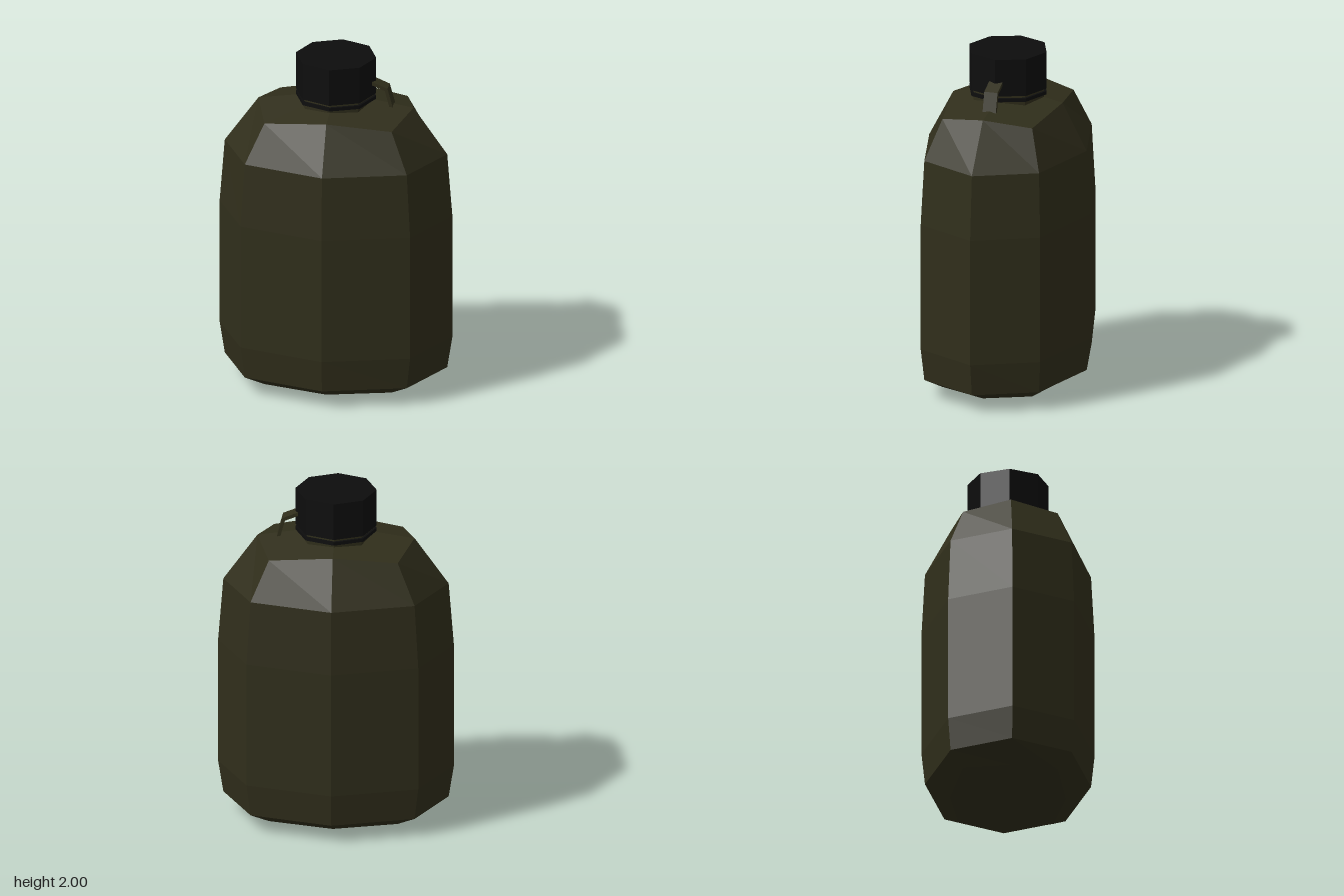
import * as THREE from 'three';

const olive = new THREE.MeshStandardMaterial({ color: 0x302e1b, flatShading: true, side: THREE.DoubleSide });
const black = new THREE.MeshStandardMaterial({ color: 0x0d0d0d, flatShading: true });

function add(group, name, geometry, material) {
  const mesh = new THREE.Mesh(geometry, material);
  mesh.name = name;
  group.add(mesh);
  return mesh;
}

// Eight-sided bottle lofted through rings: [halfWidth, halfDepth, y, y of the four corners]
function bottleGeometry() {
  const rings = [
    [0.45, 0.33, 0.03, 0.045],
    [0.645, 0.475, 0.11, 0.11],
    [0.675, 0.495, 0.3, 0.3],
    [0.675, 0.495, 1.05, 1.05],
    [0.645, 0.475, 1.43, 1.43],
    [0.45, 0.33, 1.705, 1.66],
  ];
  const positions = [], index = [];
  rings.forEach(([a, b, y, cornerY], r) => {
    const end = r === 0 || r === rings.length - 1;
    for (let i = 0; i < 8; i++) {
      const t = i * Math.PI / 4, corner = i % 2 === 1;
      const k = corner ? (end ? 1.16 : 1.03) : 1;
      positions.push(a * k * Math.cos(t), corner ? cornerY : y, b * k * Math.sin(t));
    }
  });
  const bottom = positions.length / 3, top = bottom + 1, last = (rings.length - 1) * 8;
  positions.push(0, 0, 0, 0, 1.775, 0);
  for (let i = 0; i < 8; i++) {
    const j = (i + 1) % 8;
    for (let r = 0; r < last; r += 8) {
      index.push(r + i, r + 8 + i, r + 8 + j, r + i, r + 8 + j, r + j);
    }
    index.push(bottom, i, j, top, last + j, last + i);
  }
  const g = new THREE.BufferGeometry();
  g.setAttribute('position', new THREE.Float32BufferAttribute(positions, 3));
  g.setIndex(index);
  g.computeVertexNormals();
  return g;
}

// Octagonal prism between two heights
function octagon(radius, y0, y1) {
  return new THREE.CylinderGeometry(radius, radius, y1 - y0, 8).translate(0, (y0 + y1) / 2, 0);
}

export function createModel() {
  const model = new THREE.Group();
  model.name = 'canteen';

  add(model, 'bottle', bottleGeometry(), olive);
  add(model, 'neck', octagon(0.218, 1.7, 1.79), olive);

  // Screw cap with a separate collar below it
  add(model, 'collar', octagon(0.233, 1.745, 1.765), black);
  add(model, 'cap', octagon(0.233, 1.78, 2), black);

  // Bent retaining strap from the cap down to the shoulder on the left
  const strap = new THREE.Shape([
    [0.21, 1.867], [0.305, 1.828], [0.343, 1.69], [0.323, 1.69], [0.29, 1.812], [0.21, 1.845],
  ].map(([x, y]) => new THREE.Vector2(x, y)));
  const strapGeometry = new THREE.ExtrudeGeometry(strap, { depth: 0.08, bevelEnabled: false });
  add(model, 'capStrap', strapGeometry.translate(0, 0, -0.04), olive);

  return model;
}
